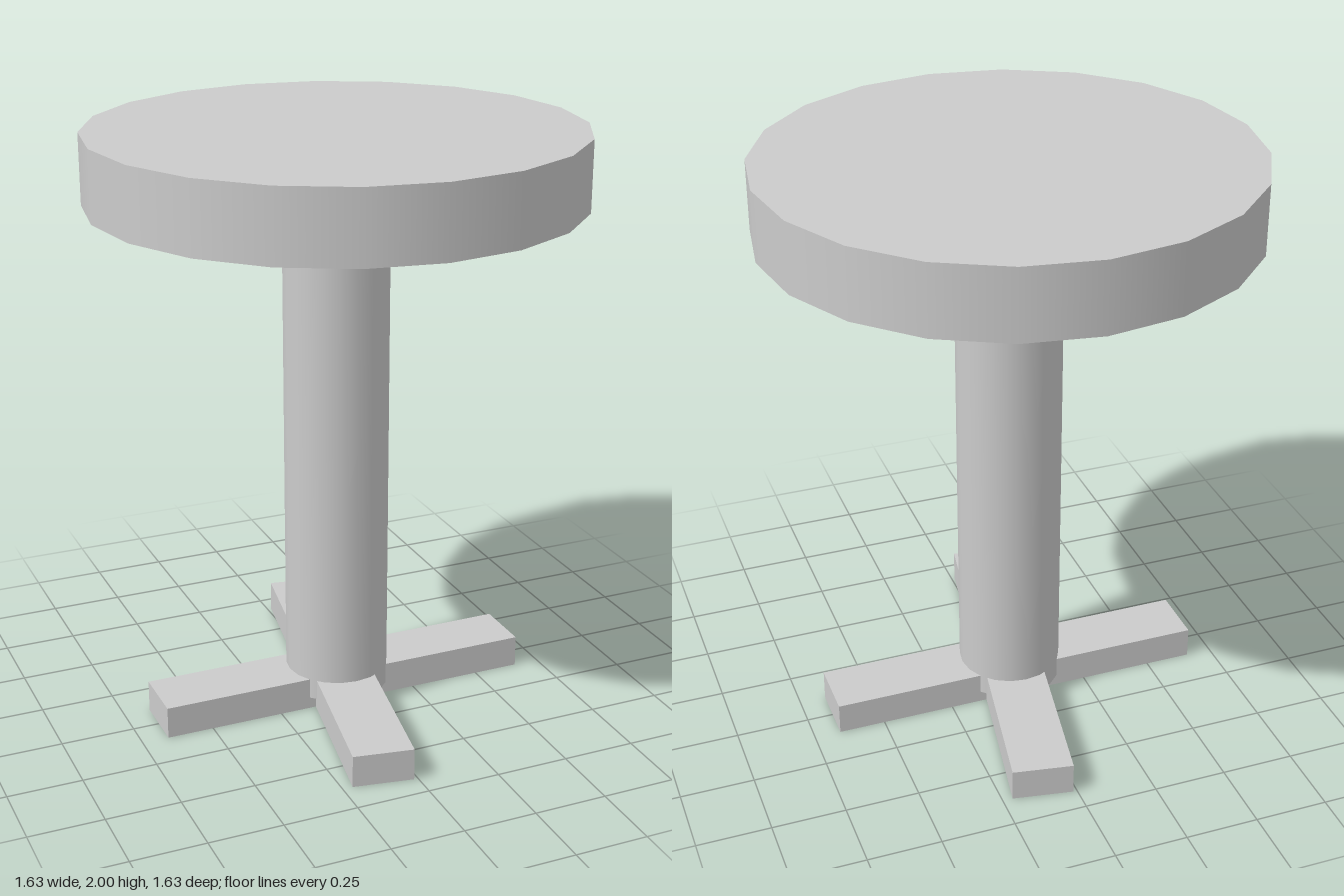
import * as THREE from 'three';

export function createModel() {
  const stool = new THREE.Group();
  stool.name = 'stool';
  const material = new THREE.MeshStandardMaterial({ color: 0xcccccc });

  const add = (name, geometry, y, turn = 0) => {
    const mesh = new THREE.Mesh(geometry, material);
    mesh.name = name;
    mesh.position.y = y;
    mesh.rotation.y = THREE.MathUtils.degToRad(turn);
    stool.add(mesh);
  };
  // Upright disc or post between two heights
  const round = (name, radius, bottom, top) =>
    add(name, new THREE.CylinderGeometry(radius, radius, top - bottom, 20), (bottom + top) / 2);

  round('seat', 0.815, 1.765, 2);
  round('post', 0.177, 0.04, 1.77);

  // Crossed floor bars, one slightly skewed
  const height = 0.11;
  add('footBarSide', new THREE.BoxGeometry(1.32, height, 0.205), height / 2);
  add('footBarFront', new THREE.BoxGeometry(0.205, height, 1.32), height / 2, -10);

  return stool;
}
